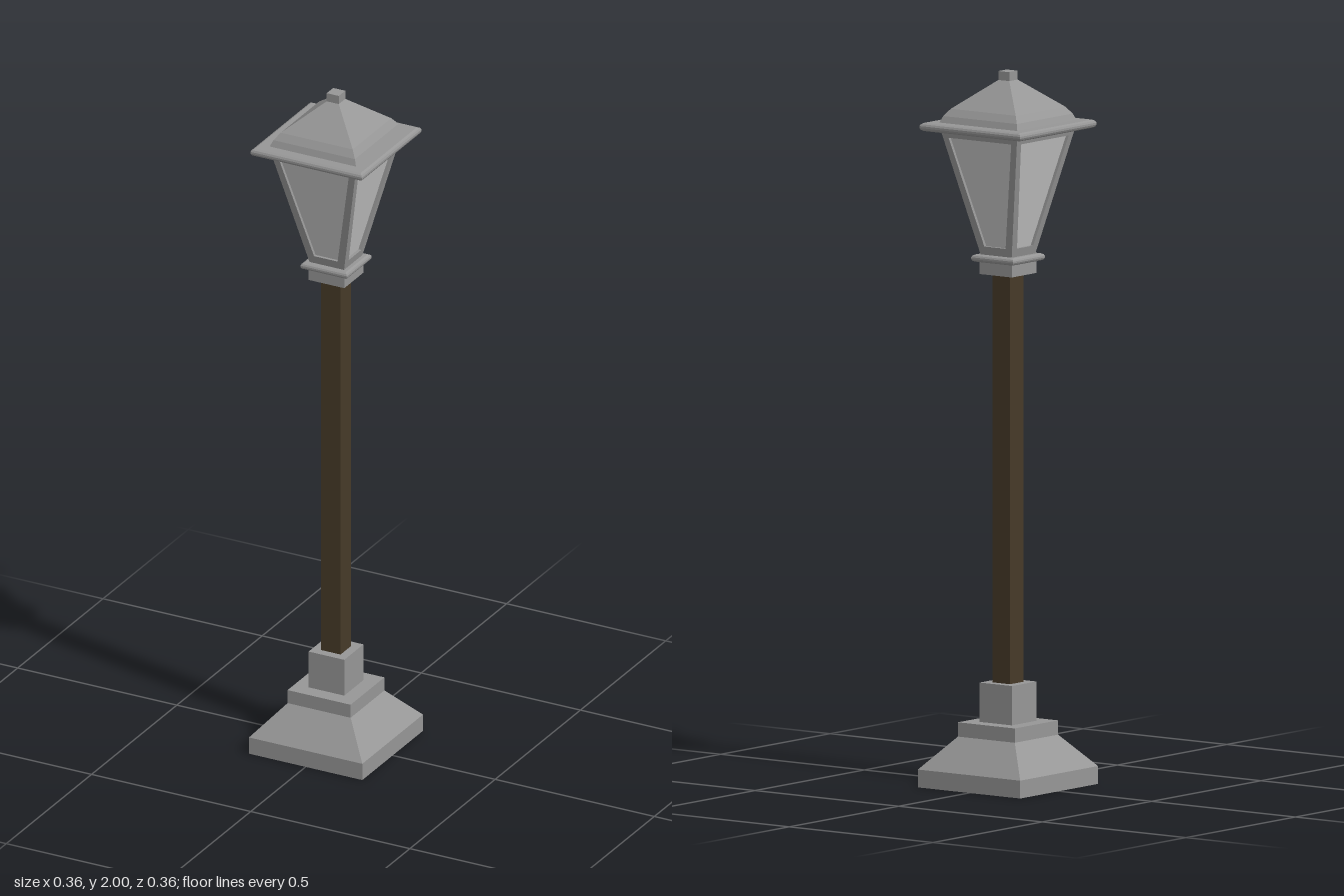
import * as THREE from 'three';

const stone = new THREE.MeshStandardMaterial({ color: 0x969696 });
stone.name = 'grey metal';
const wood = new THREE.MeshStandardMaterial({ color: 0x463a28 });
wood.name = 'dark brown';
const pane = new THREE.MeshStandardMaterial({ color: 0xc4c4c4 });
pane.name = 'pale glass';

// Square solid from a profile of [half width, height], bottom to top, capped at both ends
function squareSolid(name, profile, material) {
  const pts = [[0, profile[0][1]], ...profile, [0, profile[profile.length - 1][1]]]
    .map(([half, y]) => new THREE.Vector2(half * Math.SQRT2, y));
  const geo = new THREE.LatheGeometry(pts, 4).rotateY(Math.PI / 4).toNonIndexed();
  geo.computeVertexNormals();
  const mesh = new THREE.Mesh(geo, material);
  mesh.name = name;
  return mesh;
}

const block = (name, half, y0, y1, material) => squareSolid(name, [[half, y0], [half, y1]], material);

// Square moulding with a rounded rim
function moulding(name, half, y0, y1) {
  const h = y1 - y0, e = h * 0.4;
  return squareSolid(name, [
    [half - e, y0], [half - e * 0.3, y0 + h * 0.15], [half, y0 + h * 0.38],
    [half, y0 + h * 0.62], [half - e * 0.3, y0 + h * 0.85], [half - e, y1],
  ], stone);
}

// Flared lantern body
const BOTTOM = 1.487, TOP = 1.838, LOW = 0.054, HIGH = 0.133;
const halfAt = (y) => LOW + (HIGH - LOW) * (y - BOTTOM) / (TOP - BOTTOM);

// One tapered side frame with a trapezoid opening, sheared to follow the flare
function sideFrame() {
  const trapezoid = (a, y0, b, y1) =>
    [[-a, y0], [a, y0], [b, y1], [-b, y1]].map(([x, y]) => new THREE.Vector2(x, y));
  const shape = new THREE.Shape(trapezoid(LOW, BOTTOM, HIGH, TOP));
  shape.holes.push(new THREE.Path(trapezoid(0.037, 1.512, 0.109, 1.818).reverse()));
  const geo = new THREE.ExtrudeGeometry(shape, { depth: 0.014, bevelEnabled: false });
  const p = geo.attributes.position;
  for (let i = 0; i < p.count; i++) p.setZ(i, p.getZ(i) - 0.014 + halfAt(p.getY(i)));
  geo.computeVertexNormals();
  return geo;
}

export function createModel() {
  const model = new THREE.Group();
  model.name = 'streetLamp';

  // Stepped foot and post
  model.add(
    squareSolid('base', [[0.178, 0], [0.178, 0.05], [0.099, 0.14], [0.099, 0.18]], stone),
    block('postSocket', 0.056, 0.18, 0.29, stone),
    block('post', 0.031, 0.28, 1.45, wood),
    block('collar', 0.056, 1.433, 1.472, stone),
    moulding('collarRim', 0.073, 1.468, 1.488),
  );

  // Lantern
  const lantern = new THREE.Group();
  lantern.name = 'lantern';
  const inset = 0.009;
  lantern.add(squareSolid('glass', [
    [LOW - inset, BOTTOM], [HIGH - inset, TOP],
  ], pane));
  const frame = sideFrame();
  for (let i = 0; i < 4; i++) {
    const side = new THREE.Mesh(frame, stone);
    side.name = 'sideFrame' + (i + 1);
    side.rotation.y = i * Math.PI / 2;
    lantern.add(side);
  }
  model.add(lantern);

  // Roof
  model.add(
    moulding('roofBrim', 0.175, 1.836, 1.859),
    squareSolid('roof', [[0.136, 1.858], [0.128, 1.877], [0.113, 1.897], [0.019, 1.975]], stone),
    block('finial', 0.019, 1.972, 2, stone),
  );
  return model;
}
